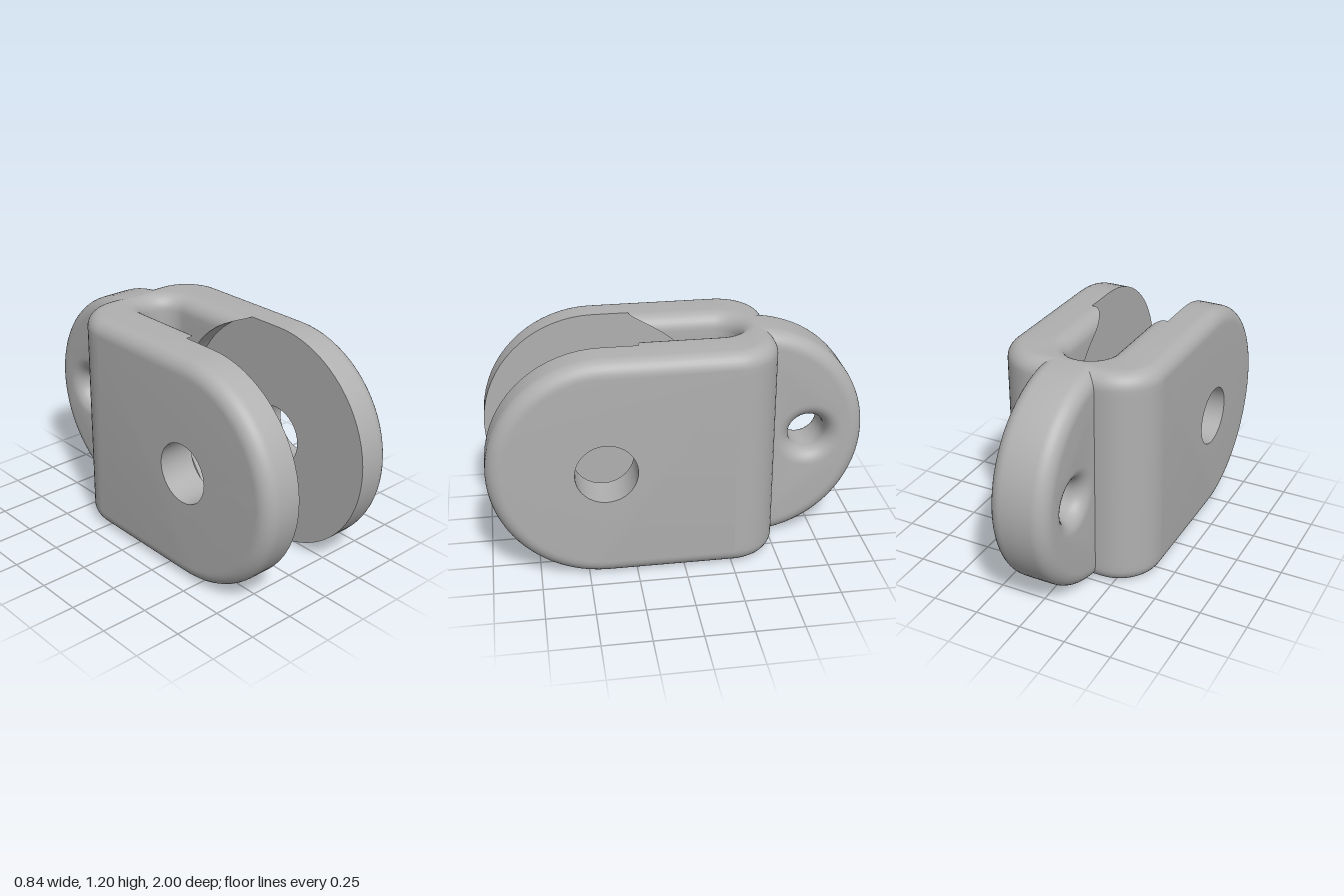
import * as THREE from 'three';
import { mergeGeometries, toCreasedNormals } from 'three/addons/utils/BufferGeometryUtils.js';

const F = 0.08;          // edge rounding
const STEPS = 8;         // segments per rounding
const H = 1.2, MID = 0.6;
const PIN = 0.4;         // z of the large pin hole and the front arc
const LUG = -0.4;        // z of the rear lug arc

const range = (n, fn) => Array.from({ length: n + 1 }, (_, i) => fn(i / n));

// Surface through rows of points; normal = (along row) x (row to row)
function grid(rows) {
  const pos = [];
  for (let i = 0; i + 1 < rows.length; i++) {
    for (let j = 0; j + 1 < rows[i].length; j++) {
      const a = rows[i][j], b = rows[i][j + 1], c = rows[i + 1][j + 1], d = rows[i + 1][j];
      pos.push(...a, ...b, ...c, ...a, ...c, ...d);
    }
  }
  const g = new THREE.BufferGeometry();
  g.setAttribute('position', new THREE.Float32BufferAttribute(pos, 3));
  return g;
}

// Flat geometry reduced to bare triangles
function bare(g) {
  const n = g.toNonIndexed();
  n.deleteAttribute('uv');
  n.deleteAttribute('normal');
  return n;
}

const circle = (z, r) => range(32, t => [z + r * Math.cos(t * 2 * Math.PI), MID + r * Math.sin(t * 2 * Math.PI)]);

// Flat face at x, facing dir along x, from [z, y] points
function sideFace(points, hole, x, dir) {
  const flat = p => p.map(([z, y]) => new THREE.Vector2(-dir * z, y));
  const shape = new THREE.Shape(flat(points));
  shape.holes.push(new THREE.Path(flat(hole.slice(0, -1))));
  return bare(new THREE.ShapeGeometry(shape).rotateY(dir * Math.PI / 2).translate(x, 0, 0));
}

// Rim of a plate: contour(inset) swept from x0 to a rounded edge at x1
function rim(contour, x0, x1) {
  const profile = [[x0, 0], ...range(STEPS, t => {
    const a = t * Math.PI / 2;
    return [x1 - F + F * Math.sin(a), F * (1 - Math.cos(a))];
  })];
  return grid(profile.map(([x, d]) => contour(d).map(([z, y]) => [x, y, z])));
}

// Bore through a plate from [x, radius] points
const bore = (z, profile) => grid(profile.map(([x, r]) => circle(z, r).map(([cz, y]) => [x, y, cz])));

// Join the +x half with its mirror image and smooth the rounded edges
function mirrored(parts) {
  const half = mergeGeometries(parts);
  const other = half.clone(), p = other.attributes.position, src = half.attributes.position;
  for (let i = 0; i < p.count; i += 3) {
    [0, 2, 1].forEach((k, j) => p.setXYZ(i + j, -src.getX(i + k), src.getY(i + k), src.getZ(i + k)));
  }
  return toCreasedNormals(mergeGeometries([half, other]), 0.6);
}

// Heights with the inset of the rounded top and bottom edges
function heightRows() {
  const low = range(STEPS, t => {
    const a = t * Math.PI / 2;
    return [F * (1 - Math.cos(a)), F * (1 - Math.sin(a))];
  });
  const middle = range(28, t => [F + t * (H - 2 * F), 0]).slice(1, -1);
  const high = low.map(([y, d]) => [H - y, d]).reverse();
  return [...low, ...middle, ...high];
}

// Plan outlines as [x, z]
const outerPlan = d => [
  ...range(14, t => {
    const a = t * Math.PI / 2, r = 0.24 - d;
    return [0.18 + r * Math.cos(a), -0.26 - r * Math.sin(a)];
  }),
  [0, -0.5 + d],
];
const slotArc = d => range(14, t => {
  const a = t * Math.PI / 2, r = 0.12 + d;
  return [r * Math.sin(a), -0.22 - r * Math.cos(a)];
});

// Front limit of the slot walls, left by the round clearance pocket
const pocketZ = y => Math.max(-0.22, PIN - Math.sqrt(0.63 ** 2 - (y - MID) ** 2));

function yokeGeometry() {
  const rows = heightRows();
  const cheek = d => [
    [-0.26, H - d],
    ...range(36, t => {
      const a = Math.PI / 2 - t * Math.PI, r = MID - d;
      return [PIN + r * Math.cos(a), MID + r * Math.sin(a)];
    }),
    [-0.26, d],
  ];
  const hole = circle(PIN, 0.16);
  const innerFace = [...cheek(0).slice(1, -1), ...rows.map(([y]) => [pocketZ(y), y])];

  // Rounded back, U-shaped slot and pocket step
  const back = grid(rows.map(([y, d]) => outerPlan(d).map(([x, z]) => [x, y, z])));
  const slot = grid(rows.map(([y, d]) => [
    ...slotArc(d),
    ...range(6, t => [0.12 + d, -0.22 + t * (pocketZ(y) + 0.22)]).slice(1),
  ].map(([x, z]) => [x, y, z])));
  const step = grid(rows.map(([y, d]) => [[0.12 + d, y, pocketZ(y)], [0.22, y, pocketZ(y)]]));

  // Flat top and bottom around the slot
  const cap = dir => {
    const z1 = pocketZ(H);
    const outline = [...outerPlan(F).reverse(), [0.22, -0.26], [0.22, z1], [0.12 + F, z1],
      ...slotArc(F).reverse().slice(0, -1)];
    const shape = new THREE.Shape(outline.map(([x, z]) => new THREE.Vector2(x, -dir * z)));
    return bare(new THREE.ShapeGeometry(shape).rotateX(-dir * Math.PI / 2).translate(0, dir > 0 ? H : 0, 0));
  };

  return mirrored([
    back, slot, step, cap(1), cap(-1),
    rim(cheek, 0.22, 0.42),
    sideFace(cheek(F), hole, 0.42, 1),
    sideFace(innerFace, hole, 0.22, -1),
    bore(PIN, [[0.22, 0.16], [0.42, 0.16]]),
  ]);
}

function lugGeometry() {
  const contour = d => range(40, t => {
    const a = (-92 - t * 176) * Math.PI / 180, r = MID - d;
    return [LUG + r * Math.cos(a), MID + r * Math.sin(a)];
  });
  // Bore with a rounded mouth
  const mouth = range(STEPS, t => {
    const a = t * Math.PI / 2;
    return [0.08 + F * Math.sin(a), 0.1 + F * (1 - Math.cos(a))];
  });
  return mirrored([
    rim(contour, 0, 0.16),
    sideFace(contour(F), circle(-0.7, 0.1 + F), 0.16, 1),
    bore(-0.7, [[0, 0.1], ...mouth]),
  ]);
}

export function createModel() {
  const steel = new THREE.MeshStandardMaterial({ color: 0xb0b0b0, side: THREE.DoubleSide });
  steel.name = 'plain grey';
  const group = new THREE.Group();
  group.name = 'clevis';
  for (const [name, geometry] of [['forkedYoke', yokeGeometry()], ['rearLug', lugGeometry()]]) {
    const mesh = new THREE.Mesh(geometry, steel);
    mesh.name = name;
    group.add(mesh);
  }
  return group;
}
